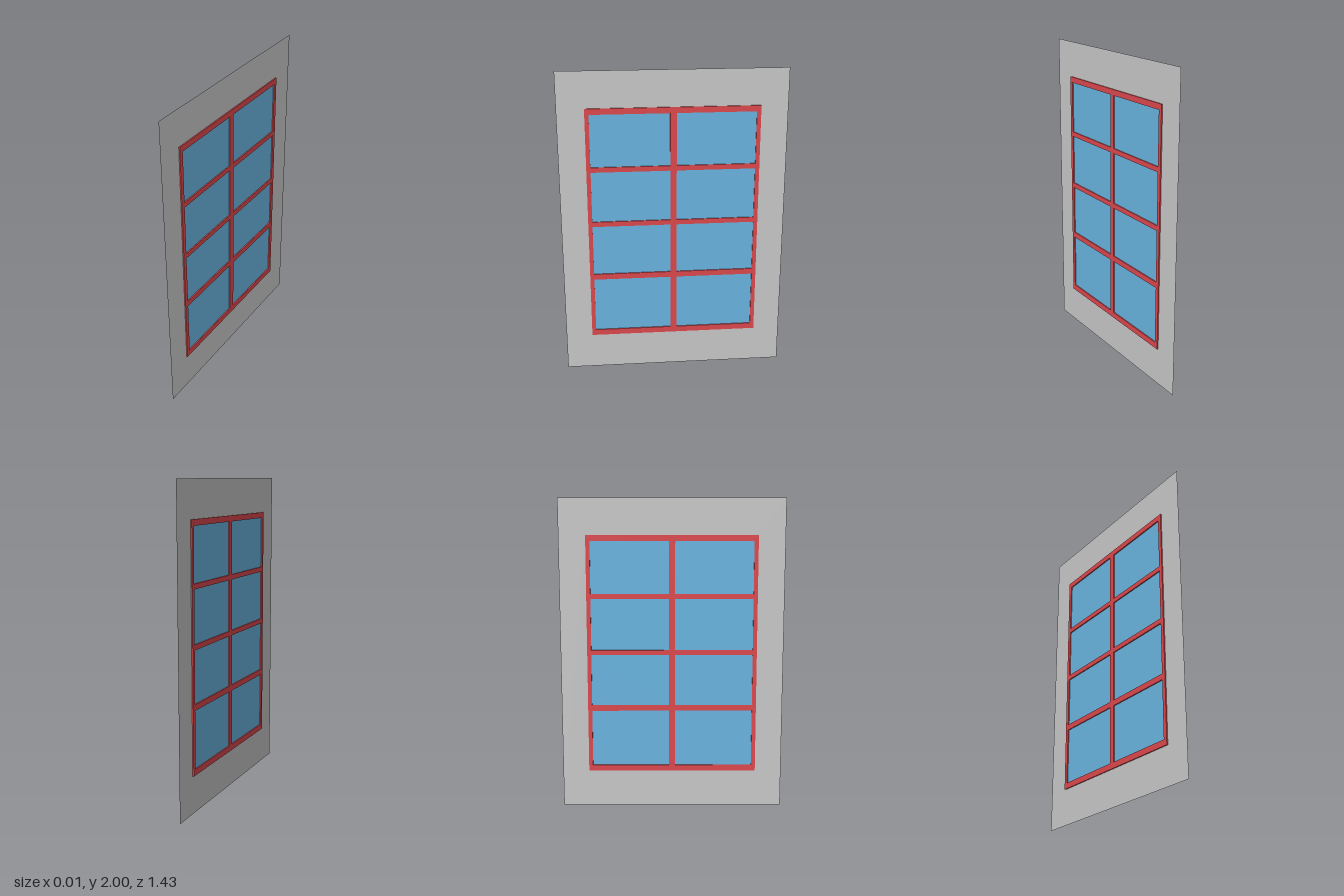
import * as THREE from 'three';

const FRAME = { w: 0.543, y0: 0.238, y1: 1.77 };
const DEPTH = 0.015;
// Bottom and top of each row of panes
const ROWS = [[0.276, 0.641], [0.678, 1.007], [1.039, 1.367], [1.399, 1.733]];
// Inner and outer edge of the panes on each side of the mullion
const PANE_IN = 0.02, PANE_OUT = 0.517;

function rect(PathType, x0, y0, x1, y1) {
  return new PathType([
    new THREE.Vector2(x0, y0), new THREE.Vector2(x1, y0),
    new THREE.Vector2(x1, y1), new THREE.Vector2(x0, y1),
  ]);
}

function part(name, geometry, color) {
  const material = new THREE.MeshStandardMaterial({ color, side: THREE.DoubleSide });
  const mesh = new THREE.Mesh(geometry, material);
  mesh.name = name;
  return mesh;
}

export function createModel() {
  const group = new THREE.Group();
  group.name = 'window';

  // Thin wall panel with the window opening
  const wall = rect(THREE.Shape, -0.713, 0, 0.713, 2);
  wall.holes.push(rect(THREE.Path, -FRAME.w, FRAME.y0, FRAME.w, FRAME.y1));
  group.add(part('wall', new THREE.ShapeGeometry(wall), 0xcccccc));

  // Frame and glazing bars, one opening per pane
  const frame = rect(THREE.Shape, -FRAME.w, FRAME.y0, FRAME.w, FRAME.y1);
  for (const [y0, y1] of ROWS) {
    for (const [x0, x1] of [[-PANE_OUT, -PANE_IN], [PANE_IN, PANE_OUT]]) {
      frame.holes.push(rect(THREE.Path, x0, y0, x1, y1));
      // Glass pane in the middle of the frame's depth
      group.add(part('glassPane', new THREE.ShapeGeometry(rect(THREE.Shape, x0, y0, x1, y1)), 0x6bb8e4));
    }
  }
  const frameGeometry = new THREE.ExtrudeGeometry(frame, { depth: DEPTH, bevelEnabled: false });
  frameGeometry.translate(0, 0, -DEPTH / 2);
  group.add(part('frame', frameGeometry, 0xe04a4f));

  // Turn the flat layout to face the side
  for (const mesh of group.children) mesh.geometry.rotateY(Math.PI / 2);
  return group;
}
